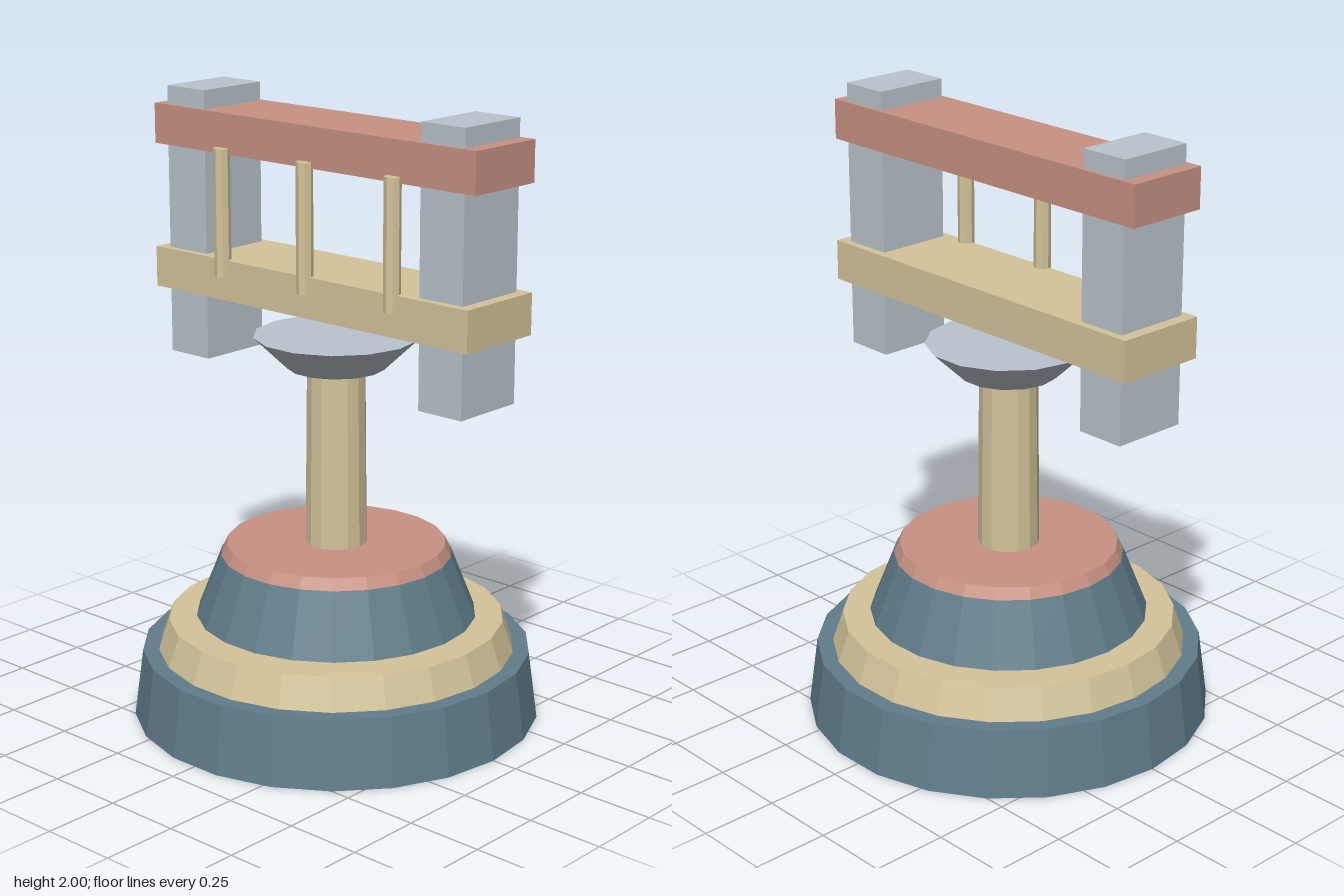
import * as THREE from 'three';

const material = (color) => new THREE.MeshStandardMaterial({ color, flatShading: true });

export function createModel() {
  const model = new THREE.Group();
  model.name = 'bellStand';
  const slate = material(0x607d8b);
  const sand = material(0xd4c49a);
  const clay = material(0xc89283);
  const silver = material(0xbac4cc);

  const add = (name, geometry, mat, x, y, z) => {
    const mesh = new THREE.Mesh(geometry, mat);
    mesh.name = name;
    mesh.position.set(x, y, z);
    model.add(mesh);
  };

  // Faceted drum between two heights, with a corner on the x axis
  const drum = (name, mat, y0, y1, r0, r1, sides, x = 0, z = 0) => {
    const geometry = new THREE.CylinderGeometry(r1, r0, y1 - y0, sides).rotateY(Math.PI / 2);
    add(name, geometry, mat, x, (y0 + y1) / 2, z);
  };

  const block = (name, mat, x, y0, y1, width, depth) =>
    add(name, new THREE.BoxGeometry(width, y1 - y0, depth), mat, x, (y0 + y1) / 2, 0);

  // Stepped round base
  drum('basePlinth', slate, 0, 0.222, 0.662, 0.632, 22);
  drum('baseStep', sand, 0.222, 0.325, 0.58, 0.545, 22);
  drum('baseCone', slate, 0.334, 0.537, 0.455, 0.375, 22);
  drum('baseCap', clay, 0.537, 0.574, 0.373, 0.355, 22);

  // Column with flared bowl
  drum('column', sand, 0.574, 1.156, 0.1, 0.094, 14);
  drum('bowl', silver, 1.156, 1.26, 0.157, 0.265, 14);

  // Frame above: two beams through two posts
  block('upperBeam', clay, 0, 1.81, 1.94, 1.324, 0.276);
  block('lowerBeam', sand, 0, 1.342, 1.474, 1.304, 0.306);
  for (const [name, side] of [['leftPost', 1], ['rightPost', -1]]) {
    block(name, silver, side * 0.53, 1.125, 2, 0.166, 0.254);
  }

  // Thin bars along the front of the frame
  for (const x of [-0.355, 0, 0.355]) {
    drum('frontBar', sand, 1.418, 1.83, 0.027, 0.027, 8, x, 0.145);
  }
  return model;
}
